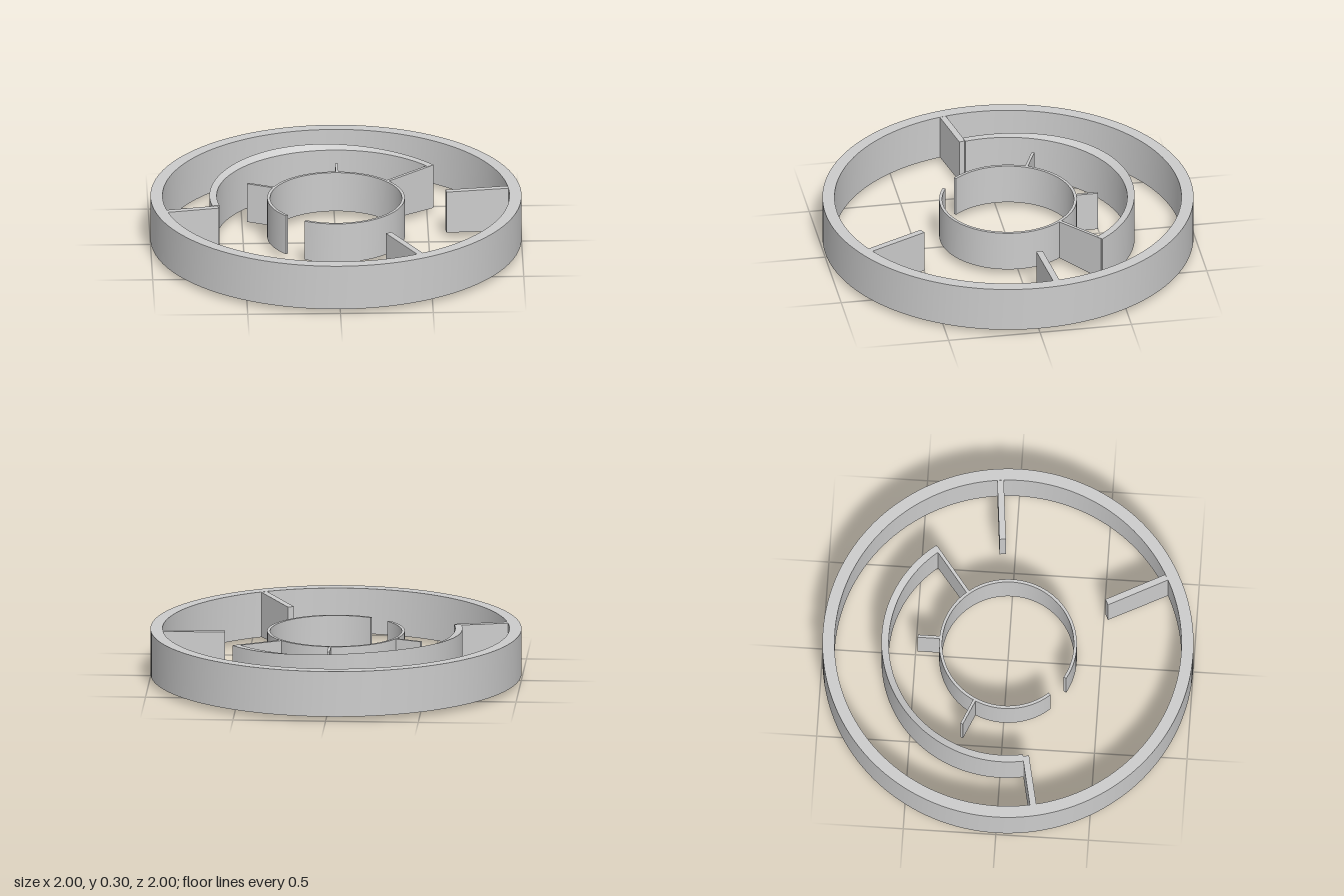
import * as THREE from 'three';
import { toCreasedNormals } from 'three/addons/utils/BufferGeometryUtils.js';

const MID = 0.15; // height of the middle plane
const material = new THREE.MeshStandardMaterial({ color: 0xcccccc });

function addMesh(parent, name, geometry) {
  const mesh = new THREE.Mesh(geometry, material);
  mesh.name = name;
  parent.add(mesh);
}

// Ring or arc swept counter-clockwise (seen from above) between two angles in degrees.
// halfIn and bulge give the half height; bulge swells the outer edge along the arc.
function arcGeometry(rIn, rOut, from, to, half, bulge = 0) {
  const steps = Math.ceil((to - from) / 2.5);
  const points = [], index = [];
  for (let i = 0; i <= steps; i++) {
    const t = i / steps;
    const a = THREE.MathUtils.degToRad(from + (to - from) * t);
    const hOut = half + bulge * Math.sin(Math.PI * t) ** 2;
    for (const [r, y] of [[rOut, -hOut], [rOut, hOut], [rIn, half], [rIn, -half]]) {
      points.push(r * Math.cos(a), MID + y, -r * Math.sin(a));
    }
  }
  for (let i = 0; i < steps; i++) {
    for (let k = 0; k < 4; k++) {
      const a = i * 4 + k, b = i * 4 + (k + 1) % 4;
      index.push(a, a + 4, b + 4, a, b + 4, b);
    }
  }
  if (to - from < 360) {
    const e = steps * 4;
    index.push(0, 1, 2, 0, 2, 3, e, e + 2, e + 1, e, e + 3, e + 2);
  }
  const geometry = new THREE.BufferGeometry();
  geometry.setAttribute('position', new THREE.Float32BufferAttribute(points, 3));
  geometry.setIndex(index);
  return toCreasedNormals(geometry, Math.PI / 6);
}

// Upright wall between two floor points, with its own half height at each end.
function wallGeometry([x1, z1], [x2, z2], thickness, half1, half2) {
  const length = Math.hypot(x2 - x1, z2 - z1);
  const geometry = new THREE.BoxGeometry(length, 2, thickness);
  const p = geometry.attributes.position;
  for (let i = 0; i < p.count; i++) {
    p.setY(i, p.getY(i) * (p.getX(i) < 0 ? half1 : half2));
  }
  geometry.rotateY(-Math.atan2(z2 - z1, x2 - x1));
  geometry.translate((x1 + x2) / 2, MID, (z1 + z2) / 2);
  geometry.computeVertexNormals();
  return geometry;
}

export function createModel() {
  const group = new THREE.Group();

  // Closed outer ring with two inward fins
  addMesh(group, 'outerRing', arcGeometry(0.935, 1, 0, 360, 0.125));
  addMesh(group, 'outerFinRight', wallGeometry([0.595, -0.068], [0.945, -0.103], 0.035, 0.118, 0.124));
  addMesh(group, 'outerFinFront', wallGeometry([0.272, 0.515], [0.437, 0.835], 0.035, 0.118, 0.124));

  // Middle arc, swelling along its outer edge, tied to both rings
  addMesh(group, 'middleArc', arcGeometry(0.643, 0.682, 38.3, 191, 0.125, 0.025));
  addMesh(group, 'outerLink', wallGeometry([-0.638, 0.138], [-0.925, 0.198], 0.035, 0.122, 0.124));
  addMesh(group, 'innerLink', wallGeometry([0.28, -0.232], [0.525, -0.423], 0.018, 0.112, 0.125));

  // Open inner ring with two outward fins
  addMesh(group, 'innerRing', arcGeometry(0.355, 0.371, -118.5, 221.9, 0.112));
  addMesh(group, 'innerFinBack', wallGeometry([0.014, -0.365], [0.014, -0.488], 0.015, 0.111, 0.111));
  addMesh(group, 'innerFinLeft', wallGeometry([-0.335, -0.16], [-0.472, -0.219], 0.015, 0.111, 0.111));

  return group;
}
